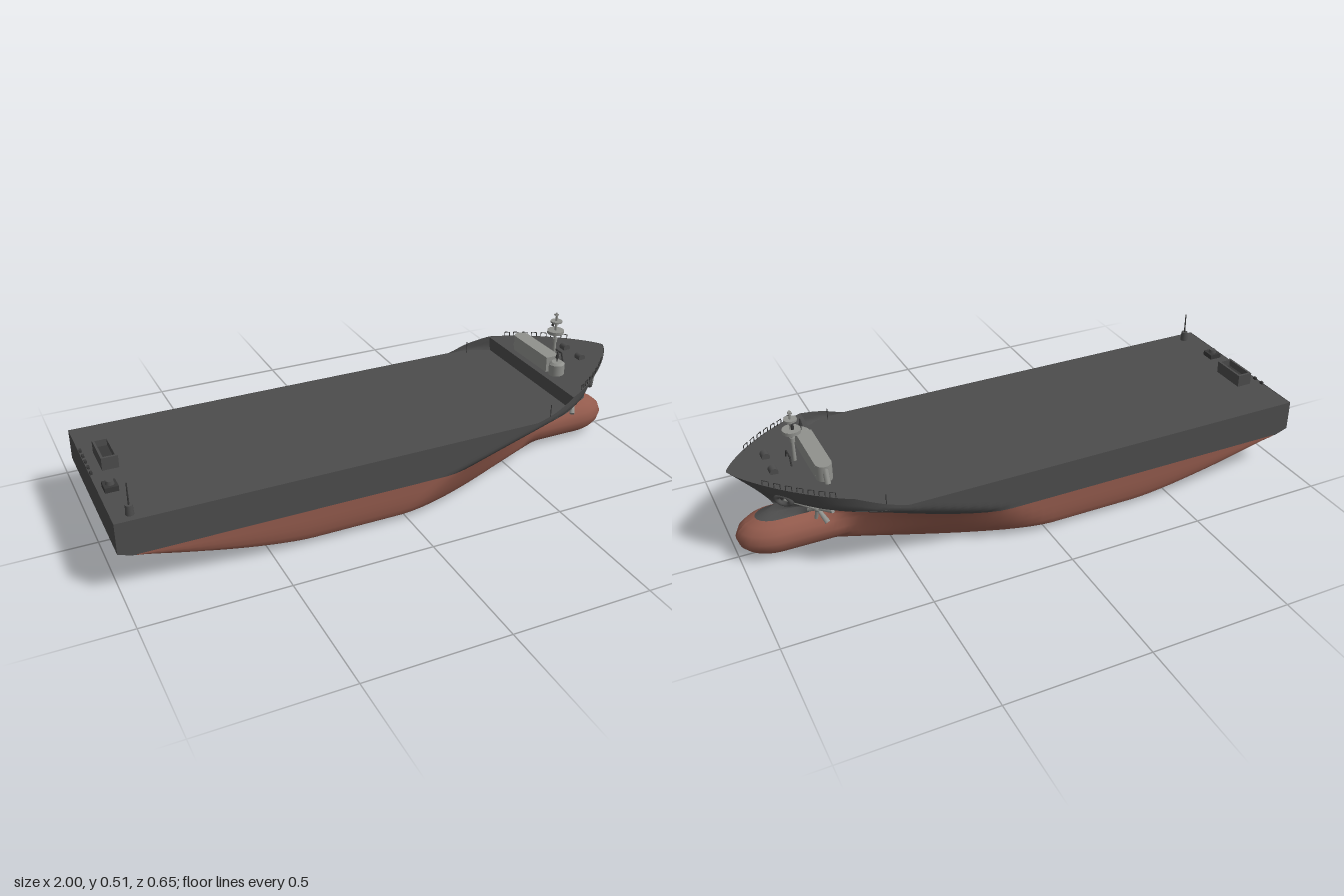
import * as THREE from 'three';

const mat = (name, color, side = THREE.FrontSide) => {
  const m = new THREE.MeshStandardMaterial({ color, side });
  m.name = name;
  return m;
};
const M = {
  hull: mat('hull grey', 0x4c4c4c, THREE.DoubleSide),
  red: mat('bottom red', 0x925a4c, THREE.DoubleSide),
  light: mat('fitting grey', 0x90918d),
  dark: mat('dark metal', 0x383838),
};
const { lerp, clamp } = THREE.MathUtils;
const V = (x, y, z) => new THREE.Vector3(x, y, z);

// ---- Hull form ----
const WL = 0.14;
const bulbFactor = y => y <= WL
  ? Math.sqrt(Math.max(0, 1 - ((y - 0.075) / 0.075) ** 2))
  : 0.5 * Math.max(0, (0.17 - y) / 0.03);
// forward end of each waterline: bulb below, raked stem above
const stem = y => y <= 0.17 ? 0.86 + 0.14 * bulbFactor(y) : 0.86 + 0.14 * ((y - 0.17) / 0.17) ** 1.2;
// half breadth at a position along the ship and a height
function halfBreadth(x, y) {
  const t = clamp((y - WL) / 0.125, 0, 1);
  const xf = y < WL ? lerp(-0.05, 0.15, y / WL) : lerp(0.15, 0.56, t);
  const xh = y <= 0.17 ? 0.86 : stem(y);
  const s = clamp((x - xf) / (xh - xf), 0, 1);
  const body = 0.325 * (1 - s ** lerp(1.5, 1.6, t)) ** lerp(1.4, 0.8, t);
  const b = bulbFactor(y);
  const e = b > 0 ? clamp((x - 0.86) / (0.14 * b), 0, 1) : 1;
  const bulb = x > 0.55 ? 0.095 * b * Math.sqrt(1 - e * e) : 0;
  return Math.max(body, bulb);
}
const keelY = u => u < -0.35 ? 0.155 * ((-0.35 - u) / 0.65) ** 1.5 : 0;
const waterY = u => Math.max(WL, keelY(u) + 0.001);
const sheerY = u => u < 0.53 ? 0.265 : u < 0.68 ? lerp(0.265, 0.318, (u - 0.53) / 0.15) : lerp(0.318, 0.34, (u - 0.68) / 0.32);
const station = (u, y) => u < 0.3 ? u : 0.3 + (u - 0.3) * (stem(y) - 0.3) / 0.7;

// smooth surface over a grid of points fn(column, row)
function surface(cols, rows, fn) {
  const pos = [], idx = [], n = rows.length;
  cols.forEach(c => rows.forEach(r => pos.push(...fn(c, r))));
  for (let i = 0; i < cols.length - 1; i++) for (let j = 0; j < n - 1; j++) {
    const a = i * n + j, b = a + n;
    idx.push(a, b, b + 1, a, b + 1, a + 1);
  }
  const g = new THREE.BufferGeometry();
  g.setAttribute('position', new THREE.Float32BufferAttribute(pos, 3));
  g.setIndex(idx);
  g.computeVertexNormals();
  return g;
}
const range = (a, b, n) => Array.from({ length: n + 1 }, (_, i) => a + (b - a) * i / n);

export function createModel() {
  const root = new THREE.Group();
  root.name = 'ship';
  const add = (name, geo, m, p = [0, 0, 0], parent = root) => {
    const o = new THREE.Mesh(geo, m);
    o.name = name;
    o.position.set(...p);
    parent.add(o);
    return o;
  };
  const box = (name, size, p, m) => add(name, new THREE.BoxGeometry(...size), m, p);
  const cyl = (name, r1, r2, h, p, m, n = 16) => add(name, new THREE.CylinderGeometry(r1, r2, h, n), m, p);
  const rod = (name, a, b, r1, r2, m, n = 8) => {
    const o = add(name, new THREE.CylinderGeometry(r2, r1, a.distanceTo(b), n), m);
    o.position.copy(a).lerp(b, 0.5);
    o.quaternion.setFromUnitVectors(V(0, 1, 0), b.clone().sub(a).normalize());
    return o;
  };

  // Hull plating, below and above the waterline
  const aft = range(-1, -0.94, 3), mid = range(-0.94, 0.5, 36);
  const fore = [...range(0.5, 0.68, 8).slice(1), ...range(0.68, 0.94, 16).slice(1), 0.955, 0.97, 0.98, 0.988, 0.994, 0.998, 1];
  const rise = [0, 0, 0.1, 0.16, 0.22, 0.35, 0.55, 0.75, 0.9, 1];
  const fill = [0, 0.47, 0.92, 0.955, 0.975, 0.99, 1, 1, 1, 1];
  const lower = (u, j) => {
    const k = Math.abs(j), y = lerp(keelY(u), waterY(u), rise[k]), x = station(u, y);
    // forward of the stern the form follows the true height
    return [x, y, Math.sign(j) * fill[k] * halfBreadth(x, y)];
  };
  const upper = sign => (u, v) => {
    const y = lerp(waterY(u), sheerY(u), sign > 0 ? v : 1 - v), x = station(u, y);
    return [x, y, sign * halfBreadth(x, y)];
  };
  const lowRows = range(-9, 9, 18);
  add('sternUnderside', surface(aft, lowRows, lower), M.hull);
  add('hullBottom', surface([...mid, ...fore], lowRows, lower), M.red);
  const allCols = [...aft, ...mid.slice(1), ...fore];
  for (const s of [1, -1]) add('hullSide', surface(allCols, range(0, 1, 12), upper(s)), M.hull);
  add('transom', surface([-1, 1], [0, 1], (c, r) => [-1, r ? 0.265 : 0.155, -c * -0.325]), M.hull);

  // Main deck, forecastle deck and the bulkhead between them
  const breakX = station(0.68, sheerY(0.68));
  add('mainDeck', surface([...range(-1, 0.5, 6), ...range(0.53, breakX, 6)], [1, -1],
    (x, s) => [x, 0.263, s * halfBreadth(x, 0.263)]), M.hull);
  add('forecastleDeck', surface(fore.filter(u => u >= 0.679), [1, -1], (u, s) => {
    const y = sheerY(u) - 0.002, x = station(u, y);
    return [x, y, s * halfBreadth(x, y)];
  }), M.hull);
  add('forecastleBulkhead', surface([-1, 1], [0, 1], (c, r) => {
    const y = r ? 0.316 : 0.263;
    return [breakX, y, c * halfBreadth(breakX, y)];
  }), M.hull);

  // Forecastle house with a rounded end, round locker and aerial
  box('deckHouse', [0.055, 0.064, 0.215], [0.718, 0.344, -0.03], M.light);
  cyl('deckHouseEnd', 0.0275, 0.0275, 0.064, [0.718, 0.344, -0.138], M.light, 24);
  rod('ventPipe', V(0.718, 0.37, -0.155), V(0.718, 0.318, -0.175), 0.01, 0.01, M.light);
  cyl('locker', 0.029, 0.029, 0.045, [0.718, 0.337, 0.105], M.light, 24);
  cyl('lockerTop', 0.02, 0.029, 0.008, [0.718, 0.363, 0.105], M.light, 24);
  rod('aerialPost', V(0.718, 0.365, 0.105), V(0.718, 0.385, 0.105), 0.002, 0.002, M.dark);
  cyl('aerialCone', 0.001, 0.007, 0.03, [0.718, 0.397, 0.105], M.dark, 8);

  // Foremast with platforms and lamps
  const mx = 0.775;
  cyl('foremast', 0.004, 0.007, 0.18, [mx, 0.41, 0], M.light, 12);
  cyl('mastPlatform', 0.031, 0.031, 0.012, [mx, 0.436, 0], M.light, 24);
  cyl('upperPlatform', 0.022, 0.022, 0.006, [mx, 0.477, 0], M.light, 20);
  cyl('mastCollar', 0.009, 0.009, 0.016, [mx, 0.402, 0], M.light, 12);
  cyl('mastLamp', 0.005, 0.005, 0.018, [mx, 0.46, -0.02], M.dark, 10);
  box('topLamp', [0.012, 0.006, 0.012], [mx, 0.503, -0.003], M.light);
  cyl('mastTip', 0.0015, 0.003, 0.014, [mx, 0.505, 0], M.light, 8);
  for (const s of [1, -1]) {
    rod('mastStay', V(mx + 0.02, 0.322, s * 0.035), V(mx + 0.02, 0.352, s * 0.022), 0.003, 0.003, M.dark);
    rod('mastStayBar', V(mx + 0.02, 0.352, s * 0.022), V(mx + 0.02, 0.352, s * 0.004), 0.003, 0.003, M.dark);
    cyl('windlass', 0.014, 0.014, 0.03, [0.86, 0.335, s * 0.05], M.hull, 16).rotation.x = Math.PI / 2;
  }

  // Bow fittings, mirrored port and starboard
  const onBow = (y, z, off, s) => {
    let x = stem(y);
    while (x > 0.3 && halfBreadth(x, y) < z) x -= 0.002;
    return V(x + off, y, s * z);
  };
  for (const s of [1, -1]) {
    // rail hoops along the forecastle edge
    for (const u of range(0.74, 0.91, 6)) {
      const y = sheerY(u), at = d => {
        const x = station(u, y) + d;
        return V(x, y, s * (halfBreadth(x, y) - 0.004));
      };
      const a = at(-0.008), b = at(0.008), up = V(0, 0.017, 0);
      rod('railPost', a, a.clone().add(up), 0.0015, 0.0015, M.dark, 6);
      rod('railPost', b, b.clone().add(up), 0.0015, 0.0015, M.dark, 6);
      rod('railTop', a.clone().add(up), b.clone().add(up), 0.0015, 0.0015, M.dark, 6);
    }
    rod('sidePost', V(0.57, 0.265, s * 0.3), V(0.57, 0.31, s * 0.3), 0.0015, 0.0015, M.dark, 6);
    // hawse ring and the bolster running down the stem
    const ring = add('hawseRing', new THREE.TorusGeometry(0.022, 0.009, 10, 24), M.hull);
    ring.position.copy(onBow(0.272, 0.135, 0.006, s));
    ring.rotation.set(0, s * -0.75 + Math.PI / 2, 0);
    ring.scale.set(1.2, 0.7, 1);
    const path = [[0.262, 0.125], [0.235, 0.112], [0.2, 0.092], [0.17, 0.072], [0.15, 0.058]].map(([y, z]) => onBow(y, z, 0.004, s));
    add('anchorBolster', new THREE.TubeGeometry(new THREE.CatmullRomCurve3(path), 24, 0.009, 10), M.hull);
    // anchor: shank, crown and flukes
    const crown = onBow(0.23, 0.166, 0.022, s);
    add('anchorCrown', new THREE.SphereGeometry(0.013, 14, 10), M.light).position.copy(crown);
    rod('anchorShank', crown, onBow(0.282, 0.145, 0.008, s), 0.008, 0.006, M.light);
    for (const [y, z, r] of [[0.247, 0.224, 0.009], [0.19, 0.2, 0.01], [0.187, 0.157, 0.006], [0.207, 0.13, 0.006]]) {
      const tip = V(crown.x - (z - 0.166) * 0.6, y, s * z);
      rod('anchorFluke', crown, tip, 0.006, r, M.light);
    }
  }

  // Stern deck: open hatch coaming, small hatch, pole mast and fairleads
  const frame = new THREE.Shape([[-0.028, -0.067], [0.028, -0.067], [0.028, 0.067], [-0.028, 0.067]].map(p => new THREE.Vector2(...p)));
  frame.holes.push(new THREE.Path([[-0.02, -0.058], [-0.02, 0.058], [0.02, 0.058], [0.02, -0.058]].map(p => new THREE.Vector2(...p))));
  add('hatchCoaming', new THREE.ExtrudeGeometry(frame, { depth: 0.045, bevelEnabled: false }), M.hull, [-0.928, 0.263, -0.073]).rotation.x = -Math.PI / 2;
  box('hatchFloor', [0.04, 0.02, 0.116], [-0.928, 0.274, -0.073], M.dark);
  box('smallHatch', [0.045, 0.018, 0.05], [-0.958, 0.272, 0.113], M.dark);
  cyl('smallHatchLid', 0.012, 0.015, 0.012, [-0.958, 0.287, 0.113], M.hull, 12);
  cyl('poleBase', 0.012, 0.014, 0.035, [-0.94, 0.28, 0.285], M.hull, 14);
  cyl('poleMast', 0.002, 0.003, 0.085, [-0.94, 0.332, 0.285], M.dark, 8);
  for (const z of range(-0.16, 0, 4)) box('fairlead', [0.008, 0.009, 0.014], [-0.994, 0.268, z], M.dark);

  // Stern gear: skeg, propeller and rudder
  const skeg = rod('skeg', V(-0.5, 0.012, 0), V(-0.855, 0.05, 0), 0.004, 0.024, M.hull, 20);
  skeg.scale.z = 1.3;
  rod('shaft', V(-0.85, 0.058, 0), V(-0.91, 0.075, 0), 0.014, 0.01, M.dark, 14);
  rod('sternStrut', V(-0.87, 0.065, 0), V(-0.85, 0.12, 0), 0.006, 0.009, M.hull);
  const prop = new THREE.Group();
  prop.name = 'propeller';
  prop.position.set(-0.895, 0.073, 0);
  root.add(prop);
  for (let i = 0; i < 4; i++) {
    const arm = new THREE.Group();
    arm.rotation.x = i * Math.PI / 2;
    prop.add(arm);
    const blade = add('propellerBlade', new THREE.SphereGeometry(1, 12, 8), M.dark, [0, 0.027, 0], arm);
    blade.scale.set(0.004, 0.025, 0.014);
    blade.rotation.y = 0.6;
  }
  box('rudder', [0.046, 0.095, 0.014], [-0.943, 0.083, 0], M.hull);
  cyl('rudderStock', 0.008, 0.008, 0.04, [-0.935, 0.14, 0], M.hull, 12);
  return root;
}
